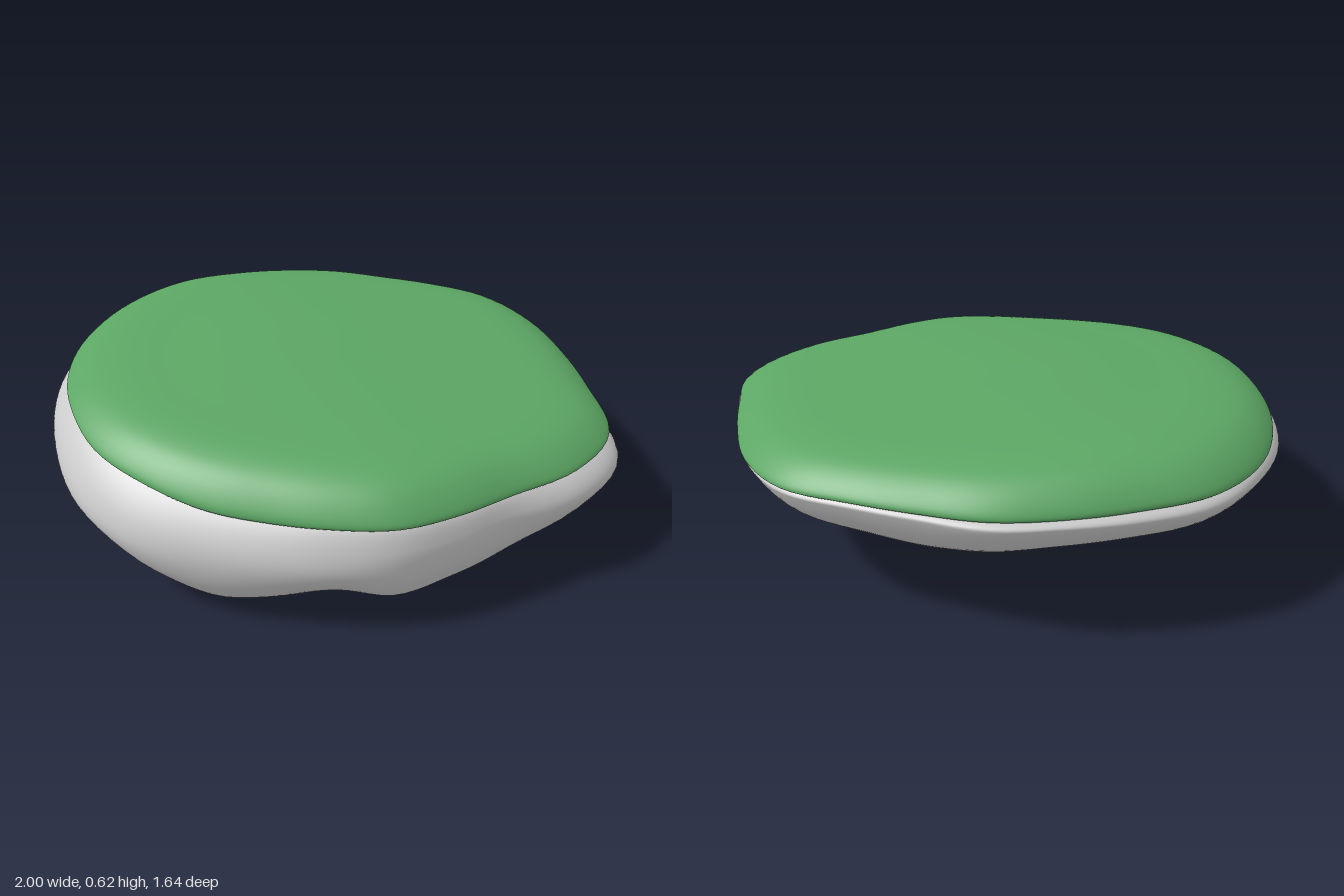
import * as THREE from 'three';
import { mergeVertices } from 'three/addons/utils/BufferGeometryUtils.js';

const SEGMENTS = 120;

// Tables hold one value every 15 degrees, from +x round through +z
const grassRadius = [.96, .905, .81, .785, .78, .755, .75, .78, .825, .88, .91, .94, .97, .985, .96, .89, .85, .835, .82, .845, .90, .905, .89, .905];
const rimHeight = [.43, .42, .41, .41, .41, .41, .41, .42, .45, .48, .515, .51, .50, .49, .49, .49, .49, .49, .49, .49, .48, .47, .465, .455];
const bulgeRadius = [1.0, .945, .82, .79, .79, .785, .80, .84, .91, .96, .98, .995, 1.0, .985, .965, .90, .86, .845, .82, .84, .89, .89, .87, .895];
const bulgeHeight = [.34, .33, .30, .28, .27, .26, .26, .26, .27, .30, .35, .40, .42, .44, .45, .46, .47, .47, .47, .47, .46, .44, .40, .37];
const lowerRadius = [.76, .76, .73, .71, .73, .68, .70, .74, .75, .72, .79, .86, .81, .76, .72, .68, .64, .62, .62, .63, .67, .68, .70, .72];
const lowerHeight = [.20, .17, .13, .115, .12, .13, .09, .06, .075, .135, .12, .165, .25, .27, .29, .30, .29, .27, .26, .27, .28, .27, .25, .22];
const bellyHeight = [.12, .11, .10, .10, .09, .075, .035, .01, 0, .06, .08, .10, .12, .14, .16, .16, .15, .14, .135, .135, .14, .15, .14, .13];

// Smooth periodic lookup into a table
function sample(table, u) {
  const n = table.length, t = u * n, i = Math.floor(t), f = t - i;
  const [a, b, c, d] = [-1, 0, 1, 2].map(k => table[(i + k + n) % n]);
  return b + 0.5 * f * (c - a + f * (2 * a - 5 * b + 4 * c - d + f * (3 * (b - c) + d - a)));
}

// Sweep a profile, given top to bottom for each direction, round the vertical axis
function loft(profileAt, steps) {
  const positions = [], index = [], row = steps + 1;
  for (let i = 0; i < SEGMENTS; i++) {
    const u = i / SEGMENTS;
    const curve = new THREE.CatmullRomCurve3(profileAt(u, u * Math.PI * 2));
    for (let j = 0; j <= steps; j++) {
      const p = curve.getPoint(j / steps);
      positions.push(p.x, Math.max(p.y, 0), p.z);
      if (j === steps) continue;
      const a = i * row + j, b = ((i + 1) % SEGMENTS) * row + j;
      index.push(a, b, a + 1, b, b + 1, a + 1);
    }
  }
  const geometry = new THREE.BufferGeometry();
  geometry.setAttribute('position', new THREE.Float32BufferAttribute(positions, 3));
  geometry.setIndex(index);
  const merged = mergeVertices(geometry, 1e-5);
  merged.computeVertexNormals();
  return merged;
}

const polar = (r, y, angle, cx = 0, cz = 0) =>
  new THREE.Vector3(cx + r * Math.cos(angle), y, cz + r * Math.sin(angle));

// Gently tilted, domed and slightly uneven lawn
const lawnHeight = (x, z) => 0.602 - 0.05 * x - 0.038 * z - 0.04 * x * x - 0.05 * z * z
  + 0.006 * Math.sin(5 * x + 2) * Math.cos(4 * z);

function grassProfile(u, angle) {
  const r = sample(grassRadius, u), rim = sample(rimHeight, u);
  // [fraction of the radius, blend from rim to lawn]
  const layers = [[0, 1], [.3, 1], [.6, 1], [.8, .97], [.9, .8], [.97, .45], [1, .12], [.985, 0], [.9, .04]];
  return layers.map(([s, blend]) => {
    const p = polar(r * s, 0, angle);
    p.y = THREE.MathUtils.lerp(rim, lawnHeight(p.x, p.z), blend);
    return p;
  });
}

function rockProfile(u, angle) {
  const g = sample(grassRadius, u), rim = sample(rimHeight, u);
  const R = sample(bulgeRadius, u), bulge = sample(bulgeHeight, u);
  const L = sample(lowerRadius, u), low = sample(lowerHeight, u);
  const mix = THREE.MathUtils.lerp;
  return [
    polar(g * 0.85, rim + 0.03, angle),
    polar(g * 0.97, rim + 0.005, angle),
    polar(mix(g, R, 0.75), mix(rim, bulge, 0.5), angle),
    polar(R, bulge, angle),
    polar(mix(L, R, 0.7), mix(low, bulge, 0.45), angle),
    polar(L, low, angle),
    polar(L * 0.5, sample(bellyHeight, u), angle, -0.05, 0.07),
    new THREE.Vector3(-0.08, 0.06, 0.04),
  ];
}

export function createModel() {
  const group = new THREE.Group();
  group.name = 'floatingIsland';
  const addPart = (name, geometry, color) => {
    const mesh = new THREE.Mesh(geometry, new THREE.MeshStandardMaterial({ color, side: THREE.DoubleSide }));
    mesh.name = name;
    group.add(mesh);
  };
  addPart('grassTop', loft(grassProfile, 48), 0x5ca664);
  addPart('rockBase', loft(rockProfile, 56), 0xcccccc);
  return group;
}
